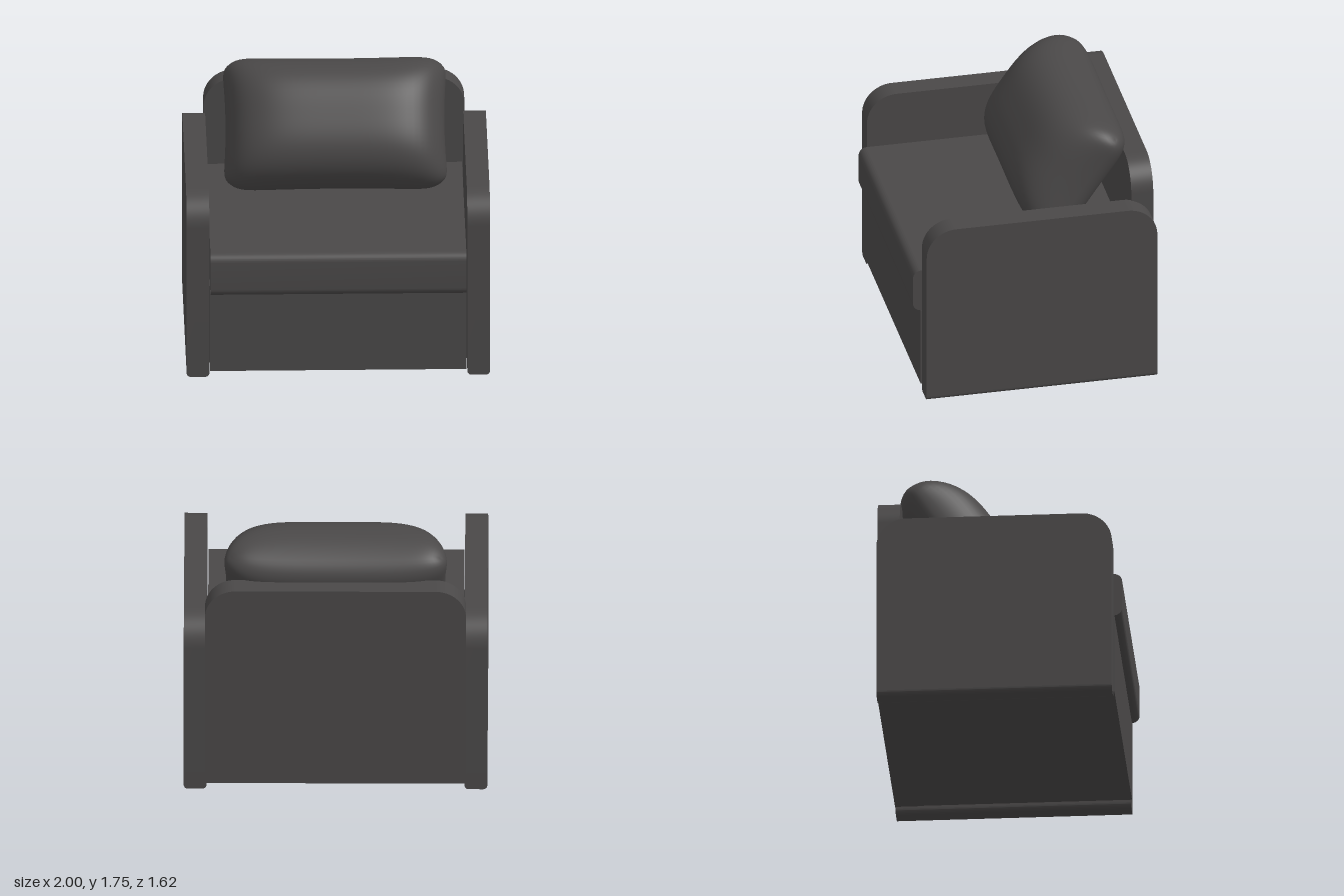
import * as THREE from 'three';
import { mergeGeometries, mergeVertices, toCreasedNormals } from 'three/addons/utils/BufferGeometryUtils.js';

const material = new THREE.MeshStandardMaterial({ color: 0x4a4848 });

// Rectangle with one radius per corner: bottom left, bottom right, top right, top left
function roundedRect(x0, x1, y0, y1, [bl, br, tr, tl]) {
  const s = new THREE.Shape();
  const corner = (x, y, r, a) => {
    if (r > 0) s.absarc(x, y, r, a, a + Math.PI / 2, false);
    else s.lineTo(x, y);
  };
  s.moveTo(x0 + bl, y0);
  corner(x1 - br, y0 + br, br, -Math.PI / 2);
  corner(x1 - tr, y1 - tr, tr, 0);
  corner(x0 + tl, y1 - tl, tl, Math.PI / 2);
  corner(x0 + bl, y0 + bl, bl, Math.PI);
  return s;
}

function extrude(shape, from, to) {
  const g = new THREE.ExtrudeGeometry(shape, { depth: to - from, bevelEnabled: false, curveSegments: 12 });
  return g.translate(0, 0, from);
}

// Side profile (z, y) stretched across the width, from x0 to x1
const extrudeAcross = (shape, x0, x1) => extrude(shape, -x1, -x0).rotateY(-Math.PI / 2);

// Stuffed pillow: a full front sheet and a flatter back sheet meeting at one rim
function pillowGeometry(halfW, halfH) {
  const sheet = (front) => {
    const g = new THREE.PlaneGeometry(2, 2, 40, 32);
    const p = g.attributes.position;
    for (let i = 0; i < p.count; i++) {
      const s = Math.sin(p.getX(i) * Math.PI / 2), t = Math.sin(p.getY(i) * Math.PI / 2);
      const a = Math.abs(s), b = Math.abs(t);
      const swell = Math.sqrt(Math.max(0, (1 - a ** 5) * (1 - b ** (front ? 3 : 6))));
      // edges dip in the middle, corners are tucked in
      const x = s * halfW * (0.975 + 0.03 * b * b - 0.07 * b ** 14);
      const y = t * halfH * (1 + 0.035 * a * a - 0.11 * a ** 14);
      p.setXYZ(i, x, y, -0.08 + (front ? 0.365 : -0.185) * swell);
    }
    if (!front) {
      const index = g.index.array;
      for (let i = 0; i < index.length; i += 3) {
        [index[i], index[i + 1]] = [index[i + 1], index[i]];
      }
    }
    g.deleteAttribute('normal');
    g.deleteAttribute('uv');
    return g;
  };
  const g = mergeVertices(mergeGeometries([sheet(true), sheet(false)]), 1e-4);
  g.computeVertexNormals();
  return g;
}

export function createModel() {
  const model = new THREE.Group();
  model.name = 'armchair';
  const add = (name, geometry, parent = model) => {
    const mesh = new THREE.Mesh(geometry, material);
    mesh.name = name;
    parent.add(mesh);
    return mesh;
  };
  const creased = (g) => toCreasedNormals(g, 0.6);

  // Arms with rounded upper corners, on a runner with rounded lower edges
  for (const side of [-1, 1]) {
    const arm = new THREE.Group();
    arm.name = side > 0 ? 'leftArm' : 'rightArm';
    const panel = roundedRect(-0.805, 0.75, 0.03, 1.275, [0, 0, 0.2, 0.2]);
    add('armPanel', creased(extrudeAcross(panel, -0.075, 0.075)), arm);
    const runner = roundedRect(-0.075, 0.075, 0, 0.03, [0.028, 0.028, 0, 0]);
    add('armRunner', creased(extrude(runner, -0.805, 0.75)), arm);
    arm.position.x = side * 0.925;
    model.add(arm);
  }

  // Base box below the seat
  const base = new THREE.BoxGeometry(1.69, 0.555, 1.457);
  add('base', base.translate(0, 0.3225, 0.0285));

  // Seat cushion with a rounded front
  const seat = roundedRect(-0.68, 0.808, 0.6, 0.9, [0, 0.055, 0.055, 0]);
  add('seatCushion', creased(extrudeAcross(seat, -0.843, 0.843)));

  // Back panel with rounded upper corners
  const back = roundedRect(-0.86, 0.86, 0.045, 1.515, [0, 0, 0.2, 0.2]);
  add('backrest', creased(extrude(back, -0.808, -0.66)));

  // Loose pillow leaning against the back
  const pillow = add('backPillow', pillowGeometry(0.74, 0.43));
  pillow.position.set(0, 1.363, -0.297);
  pillow.rotation.x = -0.61;

  return model;
}
